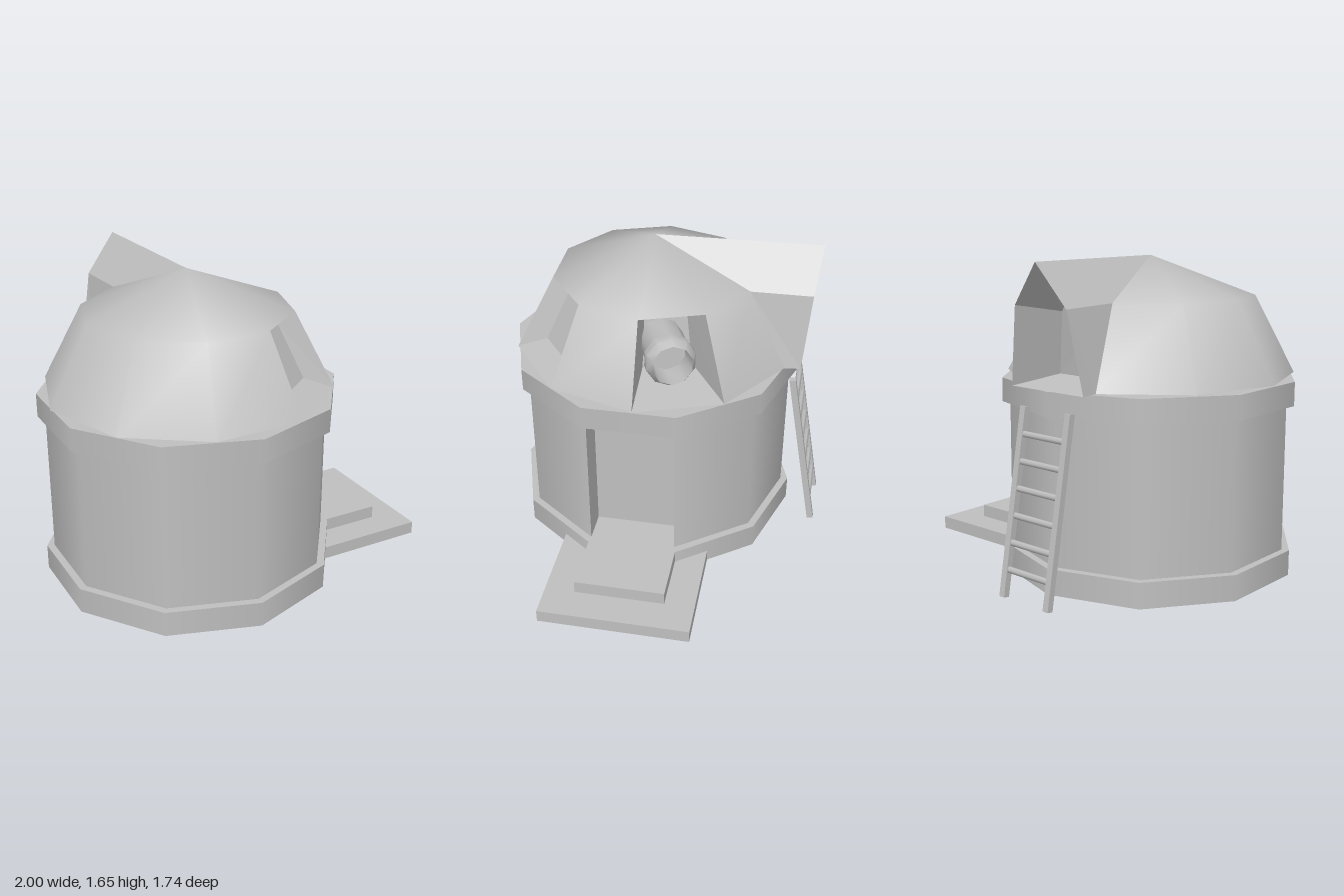
import * as THREE from 'three';
import { toCreasedNormals } from 'three/addons/utils/BufferGeometryUtils.js';

const TX = -0.2375, CX = -0.242, CZ = 0.083; // tower and dome centres

const stone = new THREE.MeshStandardMaterial({ color: 0xbfbfbf, side: THREE.DoubleSide });
stone.name = 'light grey';

function add(parent, name, geometry, x = 0, y = 0, z = 0) {
  const mesh = new THREE.Mesh(geometry, stone);
  mesh.name = name;
  mesh.position.set(x, y, z);
  parent.add(mesh);
  return mesh;
}

// Flat-shaded geometry from polygons, each a list of [x, y, z] corners
function flatFaces(polygons) {
  const pos = [];
  for (const p of polygons)
    for (let i = 1; i < p.length - 1; i++) pos.push(...p[0], ...p[i], ...p[i + 1]);
  const g = new THREE.BufferGeometry();
  g.setAttribute('position', new THREE.Float32BufferAttribute(pos, 3));
  g.computeVertexNormals();
  return g;
}

// Sunken opening: walls from an outer loop to an inner loop, closed by the inner face
function recess(outer, inner) {
  const faces = outer.map((p, i) => {
    const j = (i + 1) % outer.length;
    return [p, outer[j], inner[j], inner[i]];
  });
  return flatFaces([...faces, inner]);
}

// Box without the listed sides (0 +x, 1 -x, 2 top, 3 bottom, 4 +z, 5 -z)
function openBox(w, h, d, skip) {
  const g = new THREE.BoxGeometry(w, h, d);
  const index = Array.from(g.index.array).filter((_, i) => !skip.includes(Math.floor(i / 6)));
  g.setIndex(index);
  g.clearGroups();
  return g;
}

// Point on the dome, by angle in degrees from +x towards +z
function polar(deg, r, y) {
  const a = THREE.MathUtils.degToRad(deg);
  return [CX + r * Math.cos(a), y, CZ + r * Math.sin(a)];
}

const RIM_R = 0.76, RIM_Y = 1.04, MID_R = 0.547, MID_Y = 1.445, TOP_Y = 1.65;
const TURN = -1.5;
const rim = (i) => polar(TURN + 36 * i, RIM_R, RIM_Y);
const mid = (i) => polar(TURN + 36 * i, MID_R, MID_Y);
const apex = [CX, TOP_Y, CZ];

function buildTower(group) {
  add(group, 'baseRing', new THREE.CylinderGeometry(0.786, 0.786, 0.134, 10), TX, 0.073, CZ);
  add(group, 'topRing', new THREE.CylinderGeometry(0.786, 0.786, 0.125, 10), TX, 0.9675, CZ);
  // Wall with one side left open for the doorway
  add(group, 'wall', new THREE.CylinderGeometry(0.746, 0.746, 0.77, 9, 1, true, Math.PI * 0.6, Math.PI * 1.8),
    TX, 0.525, CZ);
  const x0 = 0.3, x1 = TX + 0.746 * Math.cos(Math.PI / 10), h = 0.746 * Math.sin(Math.PI / 10);
  const loop = (x) => [[x, 0.14, CZ + h], [x, 0.14, CZ - h], [x, 0.905, CZ - h], [x, 0.905, CZ + h]];
  add(group, 'doorway', recess(loop(x1), loop(x0)));
}

function buildSteps(group) {
  // Hollow lower step, its top pierced below the upper step
  add(group, 'lowerStepSides', openBox(0.608, 0.07, 0.8, [2, 3]), 0.696, 0.035, 0.08);
  const top = new THREE.Shape([[0.392, -0.48], [1, -0.48], [1, 0.32], [0.392, 0.32]]
    .map(([x, y]) => new THREE.Vector2(x, y)));
  top.holes.push(new THREE.Path([[0.5, -0.32], [0.5, 0.16], [0.83, 0.16], [0.83, -0.32]]
    .map(([x, y]) => new THREE.Vector2(x, y))));
  add(group, 'lowerStepTop', new THREE.ShapeGeometry(top).rotateX(-Math.PI / 2), 0, 0.07, 0);
  add(group, 'upperStep', openBox(0.33, 0.07, 0.48, [3]), 0.665, 0.105, 0.08);
}

function buildDome(group) {
  // Smooth shell of two bands, left open at the two windows and the rear hood
  const openLower = [1, 7, 9], pos = [], index = [];
  for (let i = 0; i < 10; i++) pos.push(...rim(i));
  for (let i = 0; i < 10; i++) pos.push(...mid(i));
  pos.push(...apex);
  for (let i = 0; i < 10; i++) {
    const j = (i + 1) % 10;
    if (!openLower.includes(i)) index.push(j, i, 10 + i, j, 10 + i, 10 + j);
    if (i !== 7) index.push(10 + j, 10 + i, 20);
  }
  const shell = new THREE.BufferGeometry();
  shell.setAttribute('position', new THREE.Float32BufferAttribute(pos, 3));
  shell.setIndex(index);
  shell.computeVertexNormals();
  add(group, 'domeShell', shell);

  // Sunken windows filling whole lower panels; sill and head as [depth from axis, half width, height]
  const windows = [
    { name: 'frontWindow', i: 1, sill: [0.59, 0.13, 1.11], head: [0.455, 0.1, 1.39] },
    { name: 'sideWindow', i: 9, sill: [0.38, 0.13, 1.08], head: [0.33, 0.11, 1.375] },
  ];
  for (const { name, i, sill, head } of windows) {
    const j = (i + 1) % 10, angle = TURN + 36 * (i + 0.5);
    const inner = (side, [depth, half, y]) =>
      polar(angle + side * THREE.MathUtils.radToDeg(Math.atan2(half, depth)), Math.hypot(depth, half), y);
    add(group, name, recess(
      [rim(j), rim(i), mid(i), mid(j)],
      [inner(1, sill), inner(-1, sill), inner(-1, head), inner(1, head)]));
  }
}

function buildHood(group) {
  // Peaked hood standing out from the rear panel
  const peak = [-0.268, TOP_Y, -0.795];
  const mL = [-0.1, 1.44, -0.765], mR = [-0.435, 1.44, -0.765];
  const rL = [-0.035, RIM_Y, -0.73], rR = [-0.505, RIM_Y, -0.73];
  add(group, 'hoodSides', flatFaces([
    [apex, mid(8), mL, peak], [mid(8), rim(8), rL, mL],
    [peak, mR, mid(7), apex], [mR, rR, rim(7), mid(7)],
    [rim(8), rim(7), rR, rL],
  ]));
  const outer = [rL, rR, mR, peak, mL];
  const inner = outer.map(([x, y, z]) => [-0.268 + (x + 0.268) * 0.75, 1.2 + (y - 1.2) * 0.8, z + 0.28]);
  add(group, 'hoodOpening', recess(outer, inner));
}

function buildTelescope(group) {
  // Barrel with a collar bevelled towards its open end
  const profile = [[0, 0], [0.115, 0], [0.115, 0.29], [0.13, 0.29], [0.13, 0.345], [0.105, 0.39], [0.1, 0.23], [0, 0.23]];
  const tube = new THREE.LatheGeometry(profile.map(([r, y]) => new THREE.Vector2(r, y)), 10);
  const dir = new THREE.Vector3(0.93, 0.09, -0.36).normalize();
  const mesh = add(group, 'telescope', toCreasedNormals(tube, 0.7));
  mesh.quaternion.setFromUnitVectors(new THREE.Vector3(0, 1, 0), dir);
  mesh.position.set(0.395, 1.257, -0.122).addScaledVector(dir, -0.39);
}

function buildLadder(group) {
  const ladder = new THREE.Group();
  ladder.name = 'ladder';
  const tilt = Math.atan2(0.165, 0.94), length = 0.95;
  for (const x of [-0.15, 0.15]) add(ladder, 'ladderRail', new THREE.BoxGeometry(0.034, length, 0.034), x, length / 2, 0);
  for (let i = 0; i < 6; i++) {
    const rung = new THREE.CylinderGeometry(0.017, 0.017, 0.29, 6).rotateZ(Math.PI / 2);
    add(ladder, 'ladderRung', rung, 0, 0.14 + i * 0.135, 0);
  }
  ladder.position.set(-0.235, 0.003, -0.857);
  ladder.rotation.x = tilt;
  group.add(ladder);
}

export function createModel() {
  const model = new THREE.Group();
  model.name = 'observatory';
  for (const build of [buildTower, buildSteps, buildDome, buildHood, buildTelescope, buildLadder]) build(model);
  return model;
}
